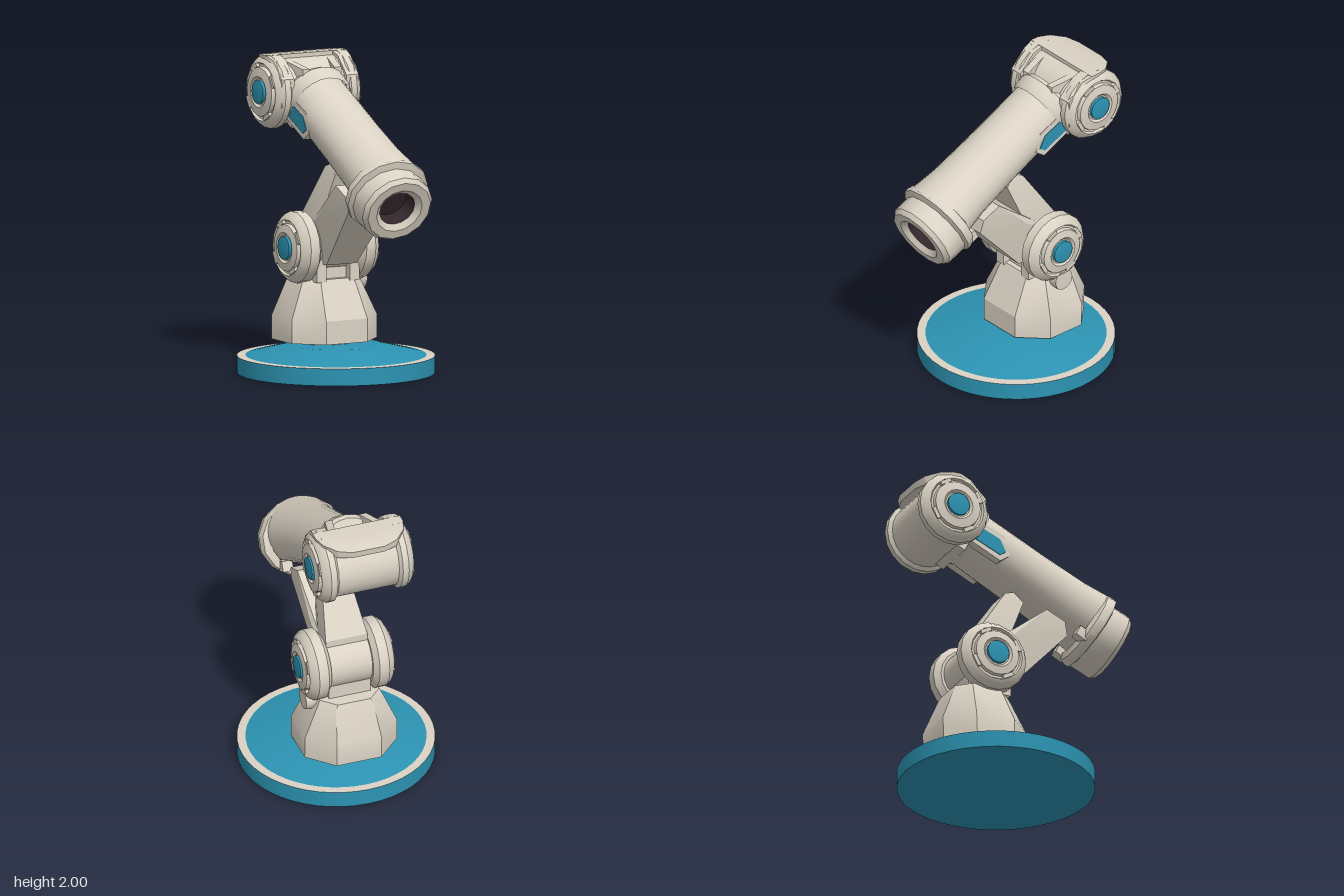
import * as THREE from 'three';
import { toCreasedNormals } from 'three/addons/utils/BufferGeometryUtils.js';
import { ConvexGeometry } from 'three/addons/geometries/ConvexGeometry.js';

const mat = (name, color) => {
  const m = new THREE.MeshStandardMaterial({ color });
  m.name = name;
  return m;
};

export function createModel() {
  const shell = mat('warm grey shell', 0xdad2c4);
  const blue = mat('teal blue', 0x2c93b2);
  const dark = mat('dark bore', 0x33262a);
  const model = new THREE.Group();
  model.name = 'robotArm';

  const add = (parent, name, geo, material, x = 0, y = 0, z = 0) => {
    const mesh = new THREE.Mesh(geo, material);
    mesh.name = name;
    mesh.position.set(x, y, z);
    parent.add(mesh);
    return mesh;
  };
  // turned part: profile of [distance along axis, radius]
  const turned = (profile, axis = 'y', sides = 24) => {
    const g = new THREE.LatheGeometry(profile.map(([h, r]) => new THREE.Vector2(r, h)), sides);
    if (axis === 'x') g.rotateZ(-Math.PI / 2);
    if (axis === 'z') g.rotateX(Math.PI / 2);
    return toCreasedNormals(g, 0.5);
  };
  // convex part with softly shaded shallow edges
  const hull = (pts) => toCreasedNormals(new ConvexGeometry(pts.map((p) => new THREE.Vector3(...p))), 0.45);
  // bar with a side outline of [z, y, half width]
  const bar = (outline) => hull(outline.flatMap(([z, y, w]) => [[w, y, z], [-w, y, z]]));

  // Round base
  const baseZ = -0.12;
  add(model, 'baseDisc', turned([[0, 0], [0, 0.63], [0.11, 0.63]], 'y', 48), blue, 0, 0, baseZ);
  add(model, 'baseRim', turned([[0.11, 0.63], [0.112, 0.57]], 'y', 48), shell, 0, 0, baseZ);
  add(model, 'baseTop', turned([[0.112, 0.575], [0.182, 0.29], [0.185, 0]], 'y', 48), blue, 0, 0, baseZ);

  // Pedestal: chamfered rectangle sections [y, half x, z min, z max, chamfer]
  add(model, 'turntable', turned([[0.17, 0.21], [0.22, 0.21]]), shell, 0, 0, -0.27);
  const pedestal = [[0.2, 0.31, -0.56, 0.02, 0.16], [0.35, 0.31, -0.565, 0.02, 0.16],
    [0.57, 0.215, -0.475, -0.09, 0.09], [0.6, 0.2, -0.465, -0.105, 0.09]];
  add(model, 'pedestal', hull(pedestal.flatMap(([y, w, a, b, c]) => [1, -1].flatMap((s) => [
    [s * w, y, a + c], [s * w, y, b - c], [s * (w - c), y, a], [s * (w - c), y, b],
  ]))), shell);
  add(model, 'pedestalNeck', new THREE.BoxGeometry(0.28, 0.14, 0.24), shell, 0, 0.63, -0.26);

  // Joint: barrel with a stepped drum and blue hub on each end
  const makeJoint = (name, y, z, R, half, barrelR, inner) => {
    const joint = new THREE.Group();
    joint.name = name;
    joint.position.set(0, y, z);
    model.add(joint);
    add(joint, 'barrel', turned([[-half + 0.08, barrelR], [half - 0.08, barrelR]], 'x'), shell);
    for (const side of [1, -1]) {
      const end = new THREE.Group();
      end.name = side > 0 ? 'leftDrum' : 'rightDrum';
      if (side < 0) end.rotation.y = Math.PI;
      joint.add(end);
      add(end, 'drum', turned([
        [inner, 0], [inner, R - 0.04], [inner + 0.03, R], [half - 0.08, R], [half - 0.045, R - 0.025],
        [half - 0.03, R - 0.05], [half - 0.045, R - 0.06], [half - 0.045, R - 0.075],
        [half - 0.02, R - 0.08], [half - 0.01, 0.1], [half - 0.025, 0.085], [half - 0.025, 0],
      ], 'x', 18), shell);
      add(end, 'hub', turned([[half - 0.03, 0.075], [half - 0.005, 0.075], [half, 0.05], [half, 0]], 'x', 16), blue);
      for (let i = 0; i < 4; i++) {
        const a = 0.5 + i * Math.PI / 2;
        const lug = add(end, 'lug', new THREE.BoxGeometry(0.025, 0.025, 0.08), shell,
          half - 0.035, Math.cos(a) * (R - 0.068), Math.sin(a) * (R - 0.068));
        lug.rotation.x = a;
      }
    }
    return joint;
  };
  makeJoint('lowerJoint', 0.8, -0.25, 0.23, 0.315, 0.17, 0.14);
  const elbow = makeJoint('elbowJoint', 1.765, -0.54, 0.238, 0.34, 0.213, 0.19);

  // Tab and yoke stops under the lower joint
  add(model, 'sideTab', turned([[0.2, 0], [0.2, 0.075], [0.28, 0.07], [0.28, 0]], 'x', 14), shell, 0, 0.57, -0.28);
  for (const s of [1, -1]) {
    add(model, 'yokeStop', new THREE.BoxGeometry(0.07, 0.15, 0.1), shell, s * 0.12, 0.66, -0.14);
  }

  // Links from the lower joint up to the forearm
  add(model, 'mainLink', bar([
    [0.31, 1.09, 0.15], [0.29, 1.18, 0.16], [0.16, 1.24, 0.16], [-0.09, 1.0, 0.16],
    [-0.25, 0.92, 0.13], [-0.25, 0.7, 0.11], [-0.05, 0.7, 0.11],
  ]), shell);
  add(model, 'rearLink', bar([
    [0.03, 1.29, 0.09], [-0.03, 1.36, 0.07], [-0.1, 1.33, 0.09],
    [-0.32, 1.0, 0.14], [-0.32, 0.85, 0.14], [-0.15, 0.85, 0.14], [-0.17, 1.02, 0.14],
  ]), shell);

  // Forearm, with its own z axis running out to the open end
  const arm = new THREE.Group();
  arm.name = 'forearm';
  arm.position.set(0, 1.14, 0.7);
  arm.rotation.x = 0.47;
  model.add(arm);
  const tube = add(arm, 'tube', turned([[-1.2, 0], [-1.2, 0.2], [-0.7, 0.205], [-0.4, 0.215], [-0.18, 0.24]], 'z', 28), shell, 0, 0.042);
  tube.scale.y = 0.9;
  const collar = add(arm, 'rearCollar', turned([[-1.27, 0], [-1.27, 0.2], [-1.24, 0.22], [-1.17, 0.215], [-1.14, 0.2]], 'z', 20), shell, 0, 0.052);
  collar.scale.y = 0.95;
  add(arm, 'elbowNeck', new THREE.BoxGeometry(0.32, 0.3, 0.25), shell, 0, 0, -1.3);
  const flange = add(arm, 'flange', turned([[-0.25, 0.2], [-0.23, 0.245], [-0.2, 0.255], [-0.17, 0.255], [-0.155, 0.21]], 'z', 14), shell);
  flange.scale.x = 1.11;
  const nozzle = new THREE.Group();
  nozzle.name = 'nozzle';
  nozzle.position.y = -0.008;
  nozzle.rotation.x = -0.06;
  nozzle.scale.x = 1.09;
  arm.add(nozzle);
  add(nozzle, 'nozzleShell', turned([
    [-0.18, 0.228], [-0.03, 0.228], [0, 0.205], [0, 0.15], [-0.03, 0.115],
  ], 'z', 14), shell);
  add(nozzle, 'nozzleBore', turned([[-0.03, 0.116], [-0.14, 0.11], [-0.14, 0]], 'z', 20), dark);

  // Framed side windows and front clips; outlines are [z, y]
  const frame = [[-0.91, -0.01], [-1.0, 0.085], [-1.24, 0.07], [-1.24, -0.09], [-0.95, -0.085]];
  const pane = [[-0.945, -0.008], [-1.02, 0.046], [-1.165, 0.036], [-1.17, -0.06], [-0.97, -0.05]];
  for (const s of [1, -1]) {
    add(arm, 'windowFrame', hull(frame.flatMap(([z, y]) => [[s * 0.12, y, z], [s * 0.199, y, z]])), shell);
    add(arm, 'window', hull(pane.flatMap(([z, y]) => [[s * 0.197, y, z], [s * 0.204, y, z]])), blue);
    add(arm, 'clip', new THREE.BoxGeometry(0.07, 0.07, 0.08), shell, s * 0.15, -0.155, -0.25);
  }

  // Elbow hood: rounded flap over the top [x, distance back, height]
  const hood = [[0.11, 0.205, 0.205], [0.2, 0.175, 0.215], [0.27, 0.1, 0.228], [0.295, 0.02, 0.235], [0.295, -0.04, 0.235]];
  add(elbow, 'hood', hull([1, -1].flatMap((s) => hood.flatMap(([x, b, y]) => [
    [s * x, y, -b], [s * x * 0.97, 0.16, -b * 0.97],
  ]))), shell);
  // Shoulders flanking the notch, and struts running to the collar
  for (const s of [1, -1]) {
    add(elbow, 'hoodShoulder', hull([
      [0.19, 0.235, 0.03], [0.295, 0.235, 0.03], [0.19, 0.21, 0.11], [0.28, 0.21, 0.11], [0.19, 0.1, 0.22], [0.28, 0.1, 0.215],
      [0.19, -0.08, 0.22], [0.28, -0.08, 0.215], [0.19, 0, 0], [0.295, 0, 0],
    ].map(([x, y, z]) => [s * x, y, z])), shell);
    add(elbow, 'strut', hull([
      [0.14, 0.21, 0.03], [0.19, 0.21, 0.03], [0.09, 0.16, 0.24], [0.14, 0.16, 0.24],
      [0.14, 0.1, 0.03], [0.19, 0.1, 0.03], [0.09, 0.08, 0.24], [0.14, 0.08, 0.24],
    ].map(([x, y, z]) => [s * x, y, z])), shell);
  }
  return model;
}
